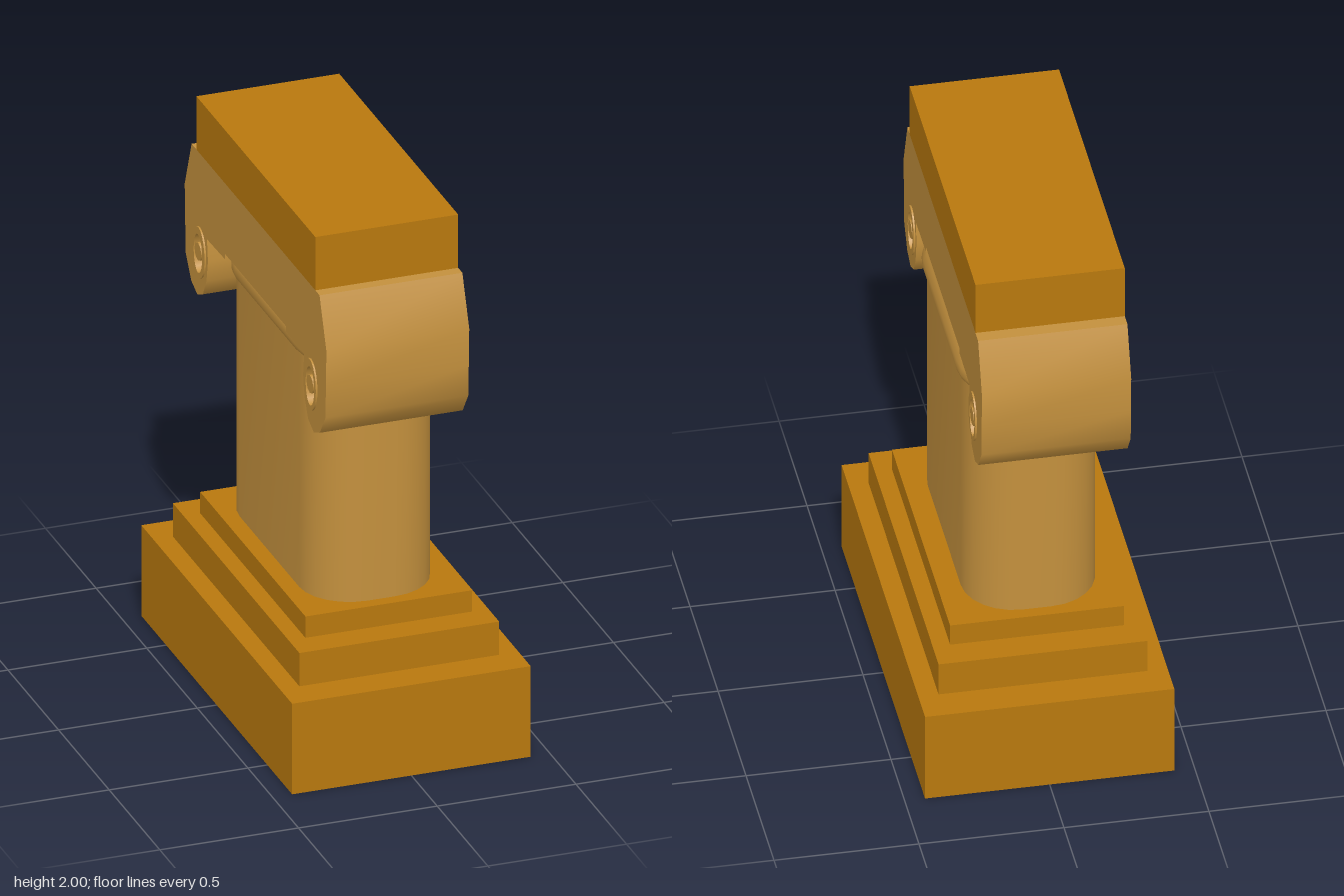
import * as THREE from 'three';
import { toCreasedNormals } from 'three/addons/utils/BufferGeometryUtils.js';

const stone = new THREE.MeshStandardMaterial({ color: 0xb8780d, side: THREE.DoubleSide });
stone.name = 'dark ochre';
const paleStone = new THREE.MeshStandardMaterial({ color: 0xc3903d, side: THREE.DoubleSide });
paleStone.name = 'pale ochre';

// Horizontal rounded rectangle at height y (radius 0 gives square corners)
function section(y, hx, hz, r = 0, cx = 0) {
  const points = [];
  const corners = [[1, 1], [-1, 1], [-1, -1], [1, -1]];
  corners.forEach(([sx, sz], k) => {
    for (let i = 0; i <= 6; i++) {
      const a = (k + i / 6) * Math.PI / 2;
      points.push([cx + sx * (hx - r) + r * Math.cos(a), y, sz * (hz - r) + r * Math.sin(a)]);
    }
  });
  return points;
}

// Skin through a stack of sections, open at both ends
function loft(sections) {
  const n = sections[0].length;
  const index = [];
  for (let s = 0; s < sections.length - 1; s++) {
    for (let i = 0; i < n; i++) {
      const a = s * n + i, b = s * n + (i + 1) % n;
      index.push(a, a + n, b, b, a + n, b + n);
    }
  }
  const geometry = new THREE.BufferGeometry();
  geometry.setAttribute('position', new THREE.Float32BufferAttribute(sections.flat(2), 3));
  geometry.setIndex(index);
  return toCreasedNormals(geometry, 0.7);
}

export function createModel() {
  const model = new THREE.Group();
  model.name = 'column';
  const add = (name, geometry, material, parent = model) => {
    const mesh = new THREE.Mesh(geometry, material);
    mesh.name = name;
    parent.add(mesh);
    return mesh;
  };

  const shaftSection = (y, grow = 0) => section(y, 0.23 + grow, 0.475 + grow, 0.18 + grow, -0.01);

  // Hollow stepped base, open underneath
  const tiers = [
    ['plinth', 0.43, 0.745, 0, 0.34],
    ['middleStep', 0.36, 0.625, 0.34, 0.465],
    ['upperStep', 0.3, 0.52, 0.465, 0.545],
  ];
  tiers.forEach(([name, hx, hz, y0, y1], i) => {
    const next = tiers[i + 1];
    const inner = next ? section(y1, next[1], next[2]) : shaftSection(y1);
    add(name, loft([section(y0, hx, hz), section(y1, hx, hz), inner]), stone);
  });

  // Shaft and the rounded roll under the capital
  add('shaft', loft([shaftSection(0.545), shaftSection(1.43)]), paleStone);
  const roll = [[1.43, 0], [1.44, 0.012], [1.46, 0.018], [1.485, 0.015], [1.51, 0.004], [1.535, -0.015]];
  add('neckRoll', loft(roll.map(([y, g]) => shaftSection(y, g))), paleStone);

  // Capital: half outline in z and y, mirrored, with hollow volutes
  const half = [
    [0.3, 1.535], [0.3, 1.515], [0.48, 1.51], [0.47, 1.43], [0.485, 1.35], [0.52, 1.285],
    [0.575, 1.26], [0.635, 1.285], [0.69, 1.365], [0.695, 1.48], [0.7, 1.62], [0.632, 1.8],
  ];
  const outline = [...half, ...half.map(([z, y]) => [-z, y]).reverse()];
  const capitalShape = new THREE.Shape(outline.map(([z, y]) => new THREE.Vector2(z, y)));
  const ellipse = (z, rz, ry) => new THREE.Path().absellipse(z, 1.425, rz, ry, 0, Math.PI * 2);
  for (const side of [1, -1]) capitalShape.holes.push(ellipse(side * 0.553, 0.042, 0.072));
  const across = (shape, depth, x) => {
    const geometry = new THREE.ExtrudeGeometry(shape, { depth, bevelEnabled: false, curveSegments: 10 });
    return toCreasedNormals(geometry.rotateY(-Math.PI / 2).translate(x, 0, 0), 0.8);
  };
  add('capital', across(capitalShape, 0.515, 0.225), paleStone);

  // Scroll rims on both faces, and the eye running through each volute
  for (const side of [1, -1]) {
    const volute = new THREE.Group();
    volute.name = side > 0 ? 'frontVolute' : 'backVolute';
    model.add(volute);
    const rim = new THREE.Shape();
    rim.absellipse(side * 0.55, 1.43, 0.062, 0.095, 0, Math.PI * 2);
    rim.holes.push(ellipse(side * 0.553, 0.042, 0.072));
    add('scrollRim', across(rim, 0.527, 0.231), paleStone, volute);
    const eye = new THREE.CylinderGeometry(0.034, 0.034, 0.527, 8).rotateZ(Math.PI / 2);
    add('scrollEye', toCreasedNormals(eye, 0.9), paleStone, volute)
      .position.set(-0.0325, 1.432, side * 0.553);
  }

  // Top slab
  add('abacus', new THREE.BoxGeometry(0.515, 0.2, 1.175), stone).position.set(-0.0325, 1.9, 0.003);

  return model;
}
